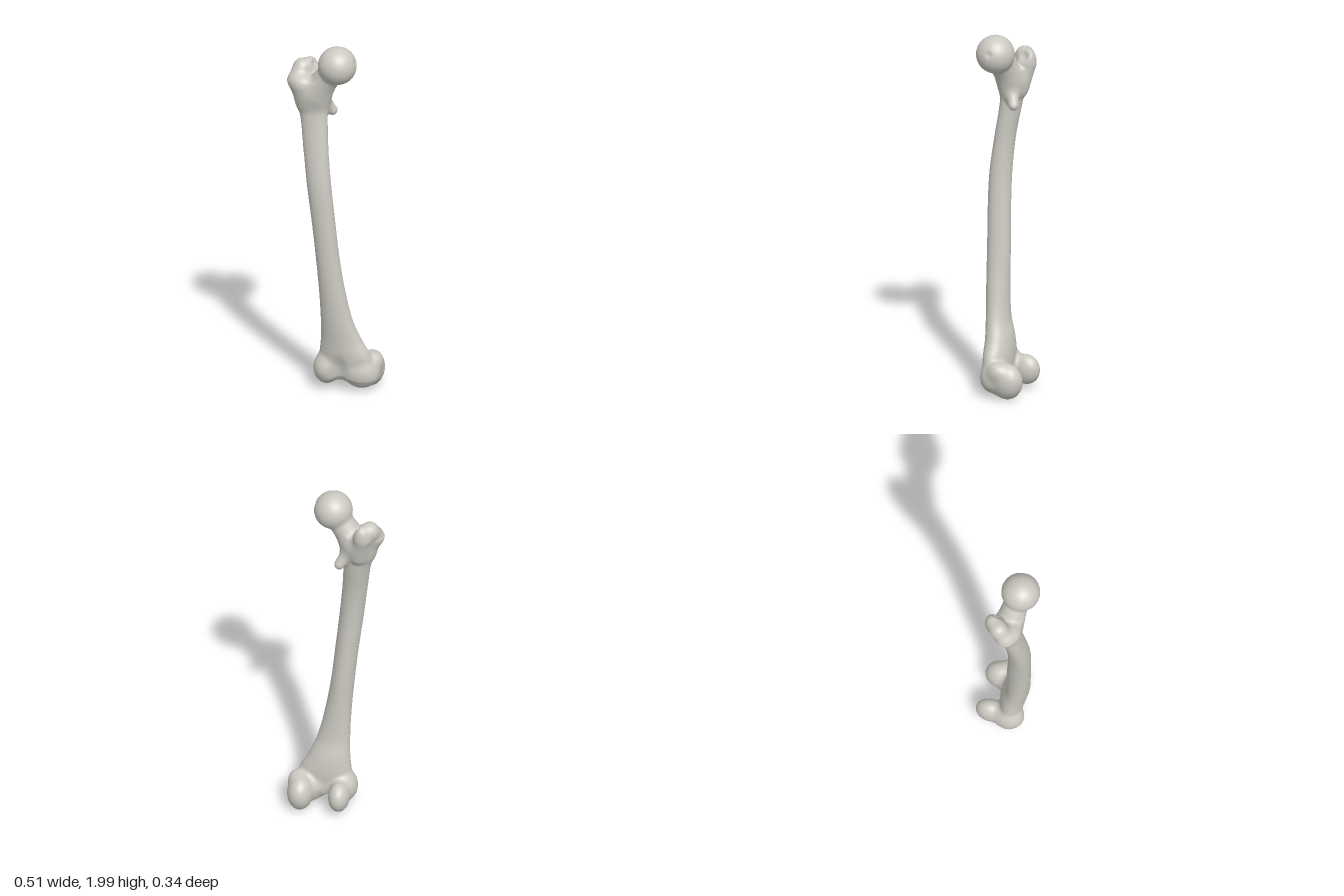
import * as THREE from 'three';
import { mergeVertices } from 'three/addons/utils/BufferGeometryUtils.js';

// Shaft cross-sections: height, left edge, right edge, back edge, front edge
const SECTIONS = [
  [0.08, -0.07, 0.20, -0.04, 0.075], [0.2, -0.08, 0.205, -0.05, 0.093], [0.3, -0.07, 0.155, -0.04, 0.10],
  [0.4, -0.065, 0.115, -0.015, 0.11], [0.6, -0.07, 0.07, 0, 0.125], [0.8, -0.085, 0.04, 0.005, 0.133],
  [1.0, -0.105, 0.02, 0.015, 0.14], [1.2, -0.13, 0, 0.02, 0.14], [1.4, -0.155, -0.02, 0.01, 0.12],
  [1.6, -0.185, -0.032, -0.02, 0.095], [1.7, -0.215, -0.03, -0.03, 0.093], [1.8, -0.23, -0.07, -0.03, 0.085],
];
const sections = new THREE.CubicInterpolant(
  SECTIONS.map((s) => s[0]), SECTIONS.flatMap((s) => s.slice(1)), 4, new Float32Array(4));

// Distance functions: each returns a value below zero inside its shape
function shaft(x, y, z) {
  const [x0, x1, z0, z1] = sections.evaluate(y);
  const rx = (x1 - x0) / 2, rz = (z1 - z0) / 2;
  const w = (z - (z0 + z1) / 2) / rz;
  // The back narrows to a ridge along the middle of the shaft
  const ridge = 0.13 * THREE.MathUtils.smoothstep(y, 0.4, 0.8);
  const u = (x - (x0 + x1) / 2) / rx * (1 - ridge * THREE.MathUtils.clamp(w, -1.5, 1.5));
  const side = (Math.hypot(u, w) - 1) * Math.min(rx, rz);
  return Math.max(side, y - 1.76, 0.09 - y);
}

const ellipsoid = (cx, cy, cz, rx, ry = rx, rz = rx) => (x, y, z) => {
  const a = (x - cx) / rx, b = (y - cy) / ry, c = (z - cz) / rz;
  const k0 = Math.hypot(a, b, c);
  return k0 * (k0 - 1) / (Math.hypot(a / rx, b / ry, c / rz) + 1e-6);
};

// Rounded bar from point a to point b, radius ra tapering to rb
const bar = (a, b, ra, rb) => {
  const d = [0, 1, 2].map((i) => b[i] - a[i]);
  const len2 = d[0] ** 2 + d[1] ** 2 + d[2] ** 2;
  return (x, y, z) => {
    const p = [x - a[0], y - a[1], z - a[2]];
    const t = THREE.MathUtils.clamp((p[0] * d[0] + p[1] * d[1] + p[2] * d[2]) / len2, 0, 1);
    return Math.hypot(p[0] - t * d[0], p[1] - t * d[1], p[2] - t * d[2]) - ra - (rb - ra) * t;
  };
};

// Parts to blend together: name, shape, blend width
const PARTS = [
  ['shaft', shaft, 0],
  ['neck', bar([0.02, 1.88, 0.06], [-0.10, 1.72, 0.035], 0.066, 0.072), 0.06],
  ['greaterTrochanter', bar([-0.203, 1.78, 0.04], [-0.185, 1.835, 0.0], 0.05, 0.046), 0.04],
  ['greaterTrochanter', bar([-0.185, 1.835, 0.0], [-0.15, 1.843, -0.035], 0.046, 0.042), 0.02],
  ['greaterTrochanter', bar([-0.15, 1.80, -0.035], [-0.125, 1.66, -0.01], 0.047, 0.035), 0.03],
  ['greaterTrochanter', bar([-0.165, 1.76, 0.065], [-0.15, 1.66, 0.045], 0.05, 0.045), 0.04],
  ['lesserTrochanter', bar([-0.022, 1.60, -0.017], [-0.06, 1.66, 0.01], 0.028, 0.035), 0.025],
  ['medialCondyle', ellipsoid(0.178, 0.106, -0.08, 0.07, 0.098, 0.09), 0.04],
  ['medialCondyle', ellipsoid(0.145, 0.105, 0.0, 0.095, 0.085, 0.08), 0.03],
  ['medialCondyle', ellipsoid(0.21, 0.16, -0.04, 0.04, 0.045, 0.045), 0.03],
  ['lateralCondyle', ellipsoid(-0.035, 0.112, -0.085, 0.057, 0.083, 0.08), 0.03],
  ['lateralCondyle', ellipsoid(-0.04, 0.118, 0.015, 0.072, 0.086, 0.085), 0.03],
  ['kneeBridge', bar([-0.03, 0.13, 0.025], [0.13, 0.115, 0.015], 0.058, 0.056), 0.03],
  ['head', ellipsoid(0.03, 1.895, 0.065, 0.104), 0.012],
];

// Hollows to carve: shape, blend width
const HOLLOWS = [
  [ellipsoid(0.068, 0.03, -0.13, 0.038, 0.10, 0.085), 0.025], // notch between the condyles
  [ellipsoid(0.045, 0.11, 0.14, 0.045, 0.10, 0.065), 0.04],   // groove for the kneecap
  [ellipsoid(-0.105, 1.865, -0.025, 0.03, 0.035, 0.035), 0.02], // pit behind the neck
  [ellipsoid(0.137, 1.925, 0.055, 0.014, 0.018, 0.018), 0.012], // dimple in the head
];

const smoothMin = (a, b, k) => {
  const h = Math.max(k - Math.abs(a - b), 0);
  return Math.min(a, b) - (k > 0 ? h * h / (4 * k) : 0);
};

function field(x, y, z) {
  let d = Infinity;
  for (const [, shape, k] of PARTS) {
    const e = shape(x, y, z);
    d = d === Infinity ? e : smoothMin(d, e, k);
  }
  for (const [shape, k] of HOLLOWS) d = -smoothMin(-d, shape(x, y, z), k);
  return d;
}

function gradient(x, y, z) {
  const e = 0.003;
  return new THREE.Vector3(
    field(x + e, y, z) - field(x - e, y, z),
    field(x, y + e, z) - field(x, y - e, z),
    field(x, y, z + e) - field(x, y, z - e)).divideScalar(2 * e);
}

// The part whose shape lies nearest to a point
function partAt(x, y, z) {
  let best = Infinity, name = '';
  for (const [n, shape] of PARTS) {
    const d = shape(x, y, z);
    if (d < best) { best = d; name = n; }
  }
  return name;
}

// Wrap the blended field in a quad skin, sorted into parts
function buildSkin() {
  const h = 0.0115, min = [-0.3, -0.03, -0.22];
  const n = [0.6, 2.07, 0.44].map((s) => Math.ceil(s / h) + 1);
  const step = [1, n[0], n[0] * n[1]];
  const values = new Float32Array(n[0] * n[1] * n[2]);
  const eachPoint = (start, visit) => {
    for (let k = start; k < n[2] - 1; k++)
      for (let j = start; j < n[1] - 1; j++)
        for (let i = start; i < n[0] - 1; i++) visit([i, j, k], i + j * step[1] + k * step[2]);
  };
  values.fill(1);
  eachPoint(0, (c, id) => { values[id] = field(...c.map((v, a) => min[a] + v * h)); });

  // One vertex in each cell the surface crosses, pulled onto the surface
  const positions = [], normals = [], vertexOf = new Map();
  eachPoint(0, (cell, id) => {
    const sum = new THREE.Vector3();
    let count = 0;
    for (let q = 0; q < 8; q++) {
      const o = [q & 1, (q >> 1) & 1, q >> 2];
      const v0 = values[id + o[0] + o[1] * step[1] + o[2] * step[2]];
      for (let a = 0; a < 3; a++) {
        if (o[a]) continue;
        const v1 = values[id + o[0] + o[1] * step[1] + o[2] * step[2] + step[a]];
        if ((v0 < 0) === (v1 < 0)) continue;
        const p = [...o];
        p[a] = v0 / (v0 - v1);
        sum.add(new THREE.Vector3(...p));
        count++;
      }
    }
    if (!count) return;
    const p = sum.divideScalar(count).add(new THREE.Vector3(...cell)).multiplyScalar(h).add(new THREE.Vector3(...min));
    const g = gradient(p.x, p.y, p.z);
    const shift = -field(p.x, p.y, p.z) / Math.max(g.lengthSq(), 0.1);
    p.addScaledVector(g, THREE.MathUtils.clamp(shift, -h / 2, h / 2));
    vertexOf.set(id, positions.length / 3);
    positions.push(p.x, p.y, p.z);
    normals.push(...gradient(p.x, p.y, p.z).normalize().toArray());
  });

  // One quad around each grid edge the surface crosses
  const faces = {};
  eachPoint(1, (cell, id) => {
    for (let a = 0; a < 3; a++) {
      const inside = values[id] < 0;
      if (inside === (values[id + step[a]] < 0)) continue;
      const b = step[(a + 1) % 3], c = step[(a + 2) % 3];
      const quad = [id - b - c, id - c, id, id - b].map((v) => vertexOf.get(v));
      if (!inside) quad.reverse();
      const name = partAt(...positions.slice(quad[0] * 3, quad[0] * 3 + 3));
      (faces[name] ??= []).push(quad[0], quad[1], quad[2], quad[0], quad[2], quad[3]);
    }
  });
  return { positions, normals, faces };
}

export function createModel() {
  const bone = new THREE.MeshStandardMaterial({ color: 0xcbc9c1 });
  bone.name = 'bone';
  const group = new THREE.Group();
  group.name = 'thighBone';
  const { positions, normals, faces } = buildSkin();
  for (const [name, index] of Object.entries(faces)) {
    const whole = new THREE.BufferGeometry();
    whole.setAttribute('position', new THREE.Float32BufferAttribute(positions, 3));
    whole.setAttribute('normal', new THREE.Float32BufferAttribute(normals, 3));
    whole.setIndex(index);
    const mesh = new THREE.Mesh(mergeVertices(whole.toNonIndexed(), 1e-5), bone);
    mesh.name = name;
    group.add(mesh);
  }
  return group;
}
